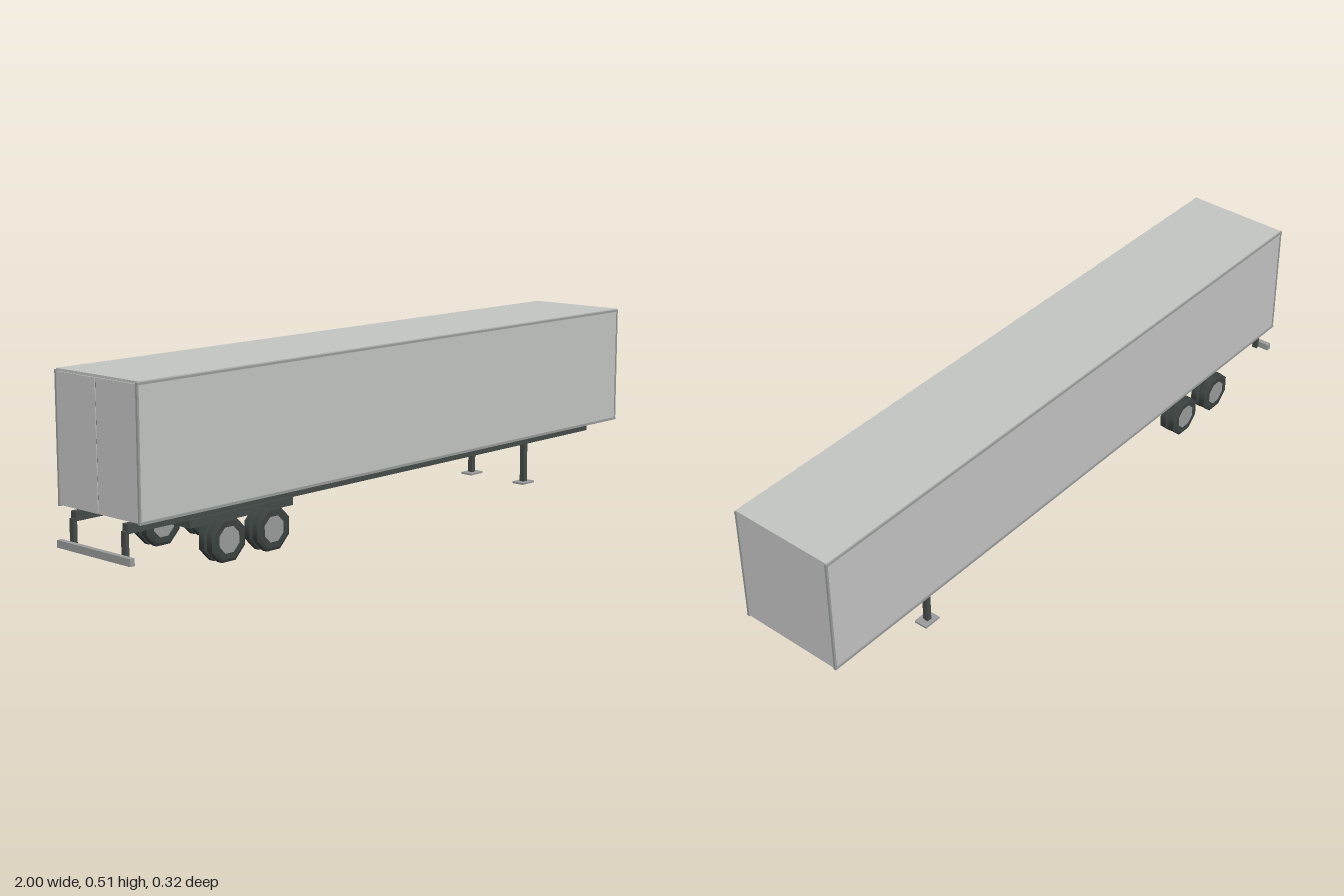
import * as THREE from 'three';

const mat = (name, color) => {
  const m = new THREE.MeshStandardMaterial({ color });
  m.name = name;
  return m;
};

export function createModel() {
  const panel = mat('panelGrey', 0xc4c6c4);
  const trim = mat('trimGrey', 0x9a9d9b);
  const steel = mat('darkSteel', 0x454c4a);
  const rubber = mat('tyreRubber', 0x3c4341);
  const trailer = new THREE.Group();
  trailer.name = 'boxTrailer';

  // Box given by its limits on each axis
  function block(name, material, [x0, x1], [y0, y1], [z0, z1], parent = trailer) {
    const mesh = new THREE.Mesh(new THREE.BoxGeometry(x1 - x0, y1 - y0, z1 - z0), material);
    mesh.position.set((x0 + x1) / 2, (y0 + y1) / 2, (z0 + z1) / 2);
    mesh.name = name;
    parent.add(mesh);
    return mesh;
  }
  // Span on the +z side, or mirrored to -z
  const span = (s, a, b) => (s > 0 ? [a, b] : [-b, -a]);

  // Cargo box
  block('cargoBox', panel, [-0.975, 0.998], [0.155, 0.508], [-0.1575, 0.1575]);

  // Rear doors with a narrow dark seam
  block('doorSeam', steel, [-0.977, -0.974], [0.162, 0.5], [-0.002, 0.002]);
  for (const s of [1, -1]) {
    block('rearDoor', panel, [-0.979, -0.975], [0.161, 0.501], span(s, 0.0015, 0.152));
  }

  for (const s of [1, -1]) {
    // Edge rails and corner posts
    block('topRail', trim, [-0.98, 1], [0.499, 0.505], span(s, 0.153, 0.1605));
    block('bottomRail', trim, [-0.98, 1], [0.153, 0.16], span(s, 0.153, 0.1605));
    block('frontCornerPost', trim, [0.994, 1], [0.16, 0.499], span(s, 0.153, 0.159));
    block('rearCornerPost', trim, [-0.98, -0.974], [0.16, 0.499], span(s, 0.153, 0.159));

    // Chassis beam
    block('chassisBeam', steel, [-0.978, 0.912], [0.123, 0.148], span(s, 0.091, 0.111));

    // Landing leg and its foot
    block('landingLeg', steel, [0.593, 0.608], [0.006, 0.124], span(s, 0.095, 0.111));
    block('landingFoot', trim, [0.574, 0.628], [0, 0.006], span(s, 0.082, 0.123));

    // Rear guard post
    block('guardPost', steel, [-0.985, -0.973], [0.05, 0.13], span(s, 0.093, 0.109));
  }

  // Rear guard bar and bogie
  block('rearGuardBar', trim, [-1, -0.985], [0.05, 0.07], [-0.143, 0.143]);
  block('bogieFrame', steel, [-0.78, -0.413], [0.103, 0.125], [-0.117, 0.117]);

  // Kingpin
  const kingpin = new THREE.Mesh(new THREE.CylinderGeometry(0.007, 0.005, 0.018, 12), trim);
  kingpin.name = 'kingpin';
  kingpin.position.set(0.81, 0.117, 0);
  trailer.add(kingpin);

  // Eight-sided tyre with bevelled shoulders, closed by a hub disc
  const profile = [
    [0.035, -0.0125], [0.054, -0.013], [0.054, -0.013], [0.0625, -0.009], [0.0625, -0.009],
    [0.0625, 0.009], [0.0625, 0.009], [0.054, 0.013], [0.054, 0.013], [0.035, 0.0125],
  ].map(([r, y]) => new THREE.Vector2(r, y));
  const tyreGeometry = new THREE.LatheGeometry(profile, 8, Math.PI / 8).rotateX(Math.PI / 2);
  const hubGeometry = new THREE.CylinderGeometry(0.037, 0.037, 0.0262, 8, 1, false, Math.PI / 8)
    .rotateX(Math.PI / 2);

  // Two axles with dual wheels on each side
  for (const x of [-0.68, -0.52]) {
    for (const z of [-0.142, -0.112, 0.112, 0.142]) {
      const wheel = new THREE.Group();
      wheel.name = 'wheel';
      const tyre = new THREE.Mesh(tyreGeometry, rubber);
      tyre.name = 'tyre';
      const hub = new THREE.Mesh(hubGeometry, trim);
      hub.name = 'hub';
      wheel.add(tyre, hub);
      wheel.position.set(x, 0.0625, z);
      trailer.add(wheel);
    }
  }
  return trailer;
}
